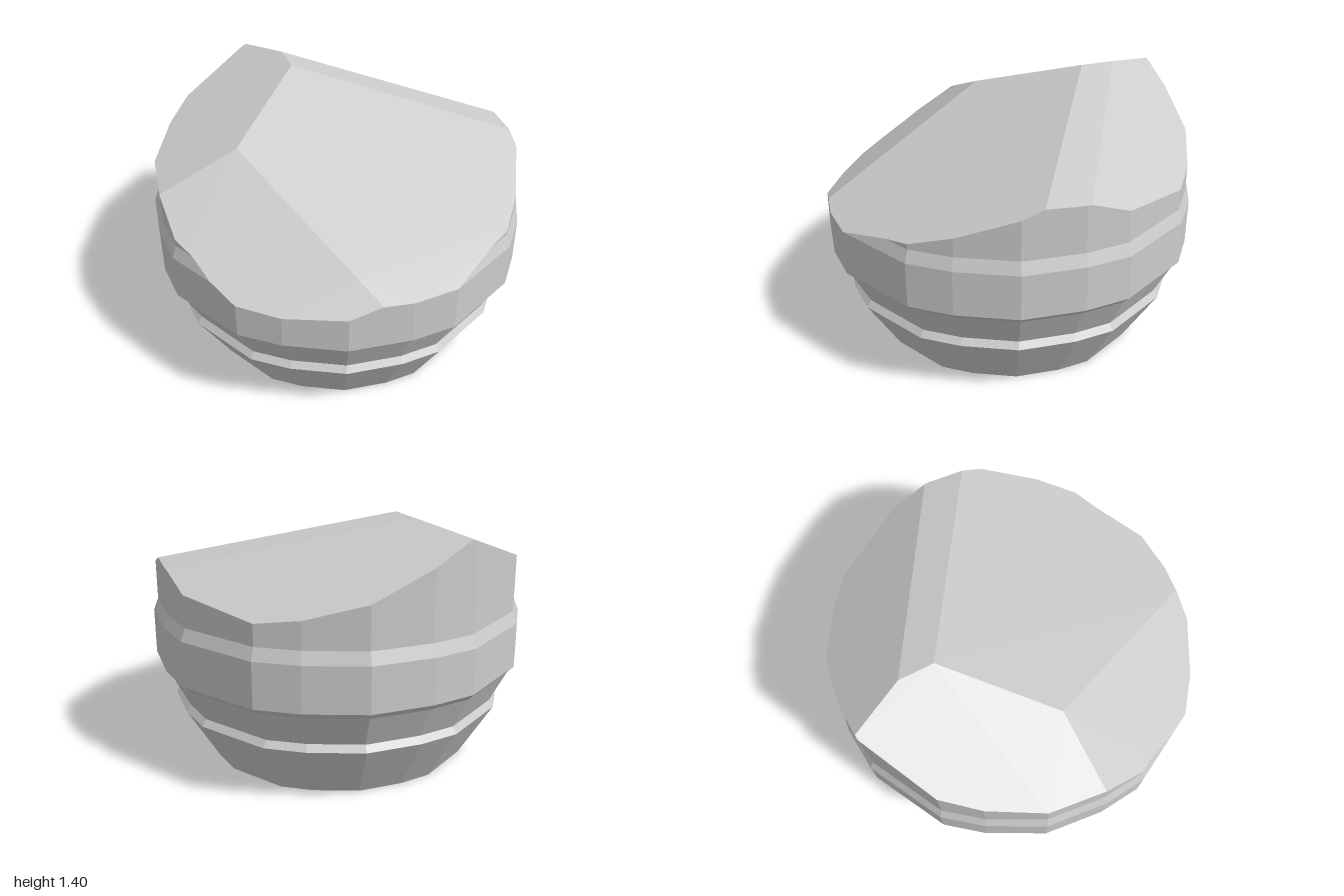
import * as THREE from 'three';
import { ConvexGeometry } from 'three/addons/geometries/ConvexGeometry.js';

const V = (x, y, z) => new THREE.Vector3(x, y, z);

// Twenty-sided outline: one quadrant turned four times
const quadrant = [[1, 0.23], [0.905, 0.45], [0.72, 0.72], [0.45, 0.905], [0.23, 1]];
const outline = [];
for (let q = 0; q < 4; q++) {
  for (const [x, z] of quadrant) {
    outline.push([[x, z], [-z, x], [-x, -z], [z, -x]][q]);
  }
}
const N = outline.length;
const ringPoint = (i, [r, y]) => V(outline[i % N][0] * r, y, outline[i % N][1] * r);

// Stepped walls and base cap from scaled copies of the outline
function loft(profile) {
  const pos = [];
  const tri = (...pts) => pts.forEach((p) => pos.push(p.x, p.y, p.z));
  for (let i = 0; i < N; i++) {
    tri(V(0, profile[0][1], 0), ringPoint(i, profile[0]), ringPoint(i + 1, profile[0]));
    for (let k = 0; k < profile.length - 1; k++) {
      const a = ringPoint(i, profile[k]), b = ringPoint(i + 1, profile[k]);
      const c = ringPoint(i, profile[k + 1]), d = ringPoint(i + 1, profile[k + 1]);
      tri(a, c, b);
      tri(b, c, d);
    }
  }
  const geo = new THREE.BufferGeometry();
  geo.setAttribute('position', new THREE.Float32BufferAttribute(pos, 3));
  geo.computeVertexNormals();
  return geo;
}

// Convex solid enclosed by a set of outward-facing planes
function solidFromPlanes(planes) {
  const corners = [];
  const m = new THREE.Matrix3();
  for (let i = 0; i < planes.length; i++) {
    for (let j = i + 1; j < planes.length; j++) {
      for (let k = j + 1; k < planes.length; k++) {
        const [a, b, c] = [planes[i], planes[j], planes[k]];
        m.set(...a.normal.toArray(), ...b.normal.toArray(), ...c.normal.toArray());
        if (Math.abs(m.determinant()) < 1e-5) continue;
        const p = V(-a.constant, -b.constant, -c.constant).applyMatrix3(m.invert());
        if (planes.some((pl) => pl.distanceToPoint(p) > 1e-5)) continue;
        if (corners.some((q) => q.distanceTo(p) < 2e-3)) continue;
        corners.push(p);
      }
    }
  }
  return new ConvexGeometry(corners);
}

// Plane of a sloping cut through (x, y, z) with slopes dy/dx and dy/dz
function cut(x, y, z, sx, sz) {
  return new THREE.Plane().setFromNormalAndCoplanarPoint(V(-sx, 1, -sz).normalize(), V(x, y, z));
}

function upperPlanes() {
  const profile = [[1, 0.56], [1, 0.805], [0.975, 0.87], [0.975, 1.6]];
  const planes = [new THREE.Plane(V(0, -1, 0), 0.56)];
  for (let k = 0; k < 3; k++) {
    for (let i = 0; i < N; i++) {
      // the upright top wall is narrower, so it bounds only above the bevel
      const a = ringPoint(i, profile[k]), b = ringPoint(i + 1, profile[k]);
      const c = ringPoint(i, profile[k + 1]);
      planes.push(new THREE.Plane().setFromCoplanarPoints(a, c, b));
    }
  }
  return planes;
}

// Sloping facets of the crown
const cuts = [
  cut(-0.47, 1.4, -0.14, 0.19, -0.36), // left
  cut(-0.47, 1.4, -0.14, -0.358, -0.182), // main
  cut(-0.26, 1.21, 0.49, -0.324, -0.594), // front
  cut(-0.47, 1.4, -0.14, -0.1206, 0.228), // rear strip
  cut(-0.64, 1.4, -0.23, 0.1285, 0.63), // rear
];

export function createModel() {
  const group = new THREE.Group();
  group.name = 'facetedStone';
  const material = new THREE.MeshStandardMaterial({ color: 0xcccccc, flatShading: true });
  const add = (name, geometry) => {
    const mesh = new THREE.Mesh(geometry, material);
    mesh.name = name;
    group.add(mesh);
  };

  // Tapered base with a notch
  add('base', loft([[0.725, 0], [0.905, 0.31], [0.88, 0.345], [0.968, 0.525], [1, 0.56]]));

  // Wide belt with its bevel, limited by the crown cuts
  const walls = upperPlanes();
  const belt = walls.slice(0, 1 + 2 * N);
  add('belt', solidFromPlanes([...belt, new THREE.Plane(V(0, 1, 0), -0.87), ...cuts]));

  // Crown above the bevel
  const crown = [new THREE.Plane(V(0, -1, 0), 0.87), ...walls.slice(1 + 2 * N)];
  add('crown', solidFromPlanes([...crown, ...cuts]));
  return group;
}
